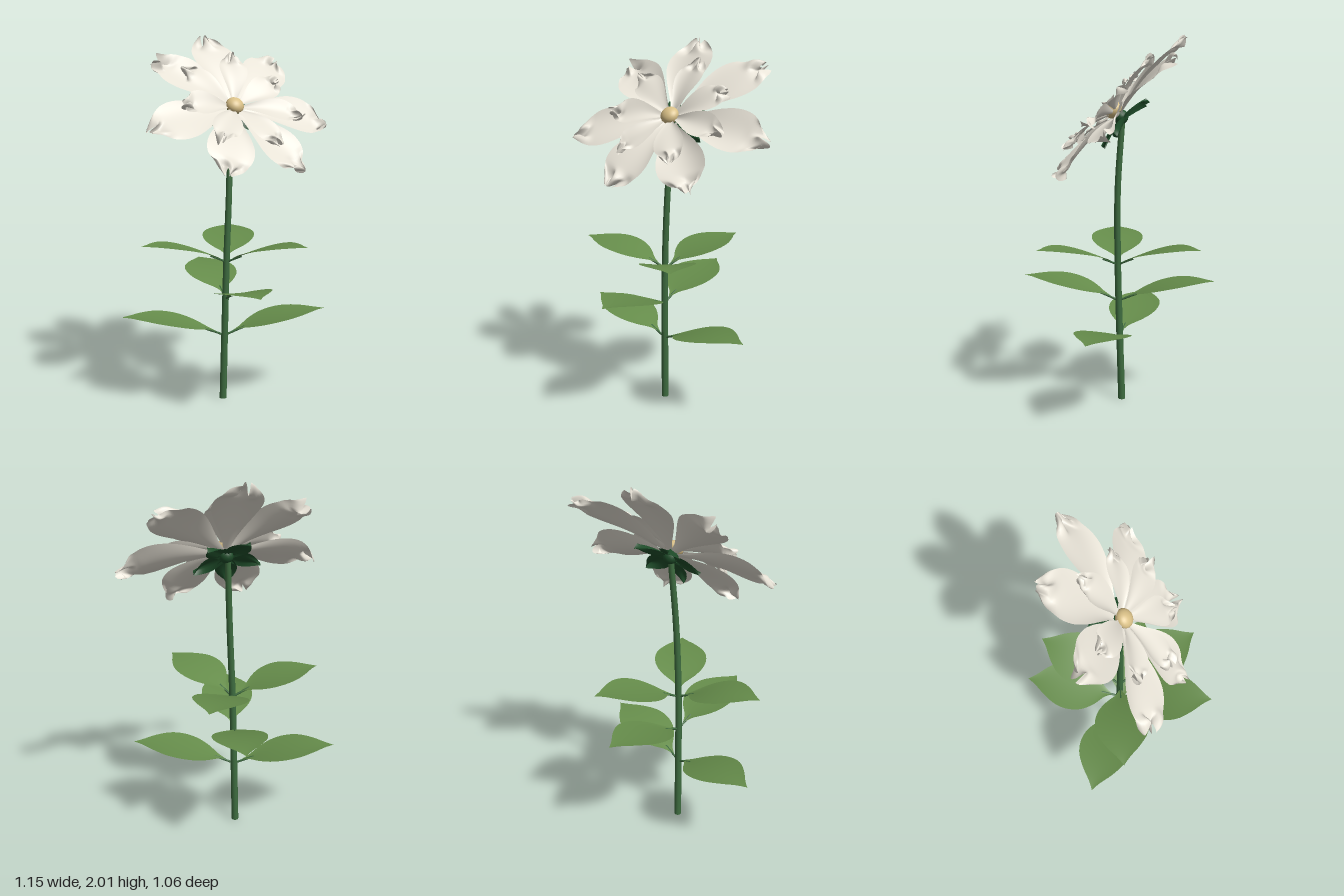
import * as THREE from 'three';

const mat = (name, color, side = THREE.FrontSide) => {
  const m = new THREE.MeshStandardMaterial({ color, side });
  m.name = name;
  return m;
};

// Curved sheet along +x: outline gives [t, halfWidth] pairs, warp bends each point.
function sheet(length, outline, warp, nu = 28, nv = 14) {
  const spline = new THREE.SplineCurve(outline.map(([t, w]) => new THREE.Vector2(t, w)));
  const geo = new THREE.PlaneGeometry(1, 2, nu, nv).rotateX(-Math.PI / 2);
  const pos = geo.attributes.position;
  for (let i = 0; i < pos.count; i++) {
    const s = pos.getZ(i);
    const p = spline.getPoint(THREE.MathUtils.clamp(pos.getX(i) + 0.5, 0, 1));
    const [dx, y] = warp(p.x, s);
    pos.setXYZ(i, p.x * length + dx, y, s * Math.max(p.y, 0.0005));
  }
  geo.computeVertexNormals();
  return geo;
}

export function createModel() {
  const petalMat = mat('ivory petal', 0xe8e3d7, THREE.DoubleSide);
  const leafMat = mat('leaf green', 0x668d4b, THREE.DoubleSide);
  const stemMat = mat('stem green', 0x3d6b3f);
  const sepalMat = mat('dark sepal green', 0x1f4d2a, THREE.DoubleSide);
  const centreMat = mat('pale gold', 0xd8bf86);

  const root = new THREE.Group();
  root.name = 'flower';
  const add = (parent, name, geo, material) => {
    const m = new THREE.Mesh(geo, material);
    m.name = name;
    parent.add(m);
    return m;
  };

  // Stem: a tapered cylinder bent along a gentle curve
  const H = 1.58;
  const path = new THREE.CatmullRomCurve3([
    [-0.03, 0, -0.022], [-0.025, 0.4, -0.01], [-0.018, 0.8, 0],
    [-0.002, 1.2, 0], [0.015, H, -0.025],
  ].map((p) => new THREE.Vector3(...p)));
  const stemGeo = new THREE.CylinderGeometry(0.016, 0.02, H, 14, 24);
  const sp = stemGeo.attributes.position;
  for (let i = 0; i < sp.count; i++) {
    const p = path.getPoint(THREE.MathUtils.clamp(sp.getY(i) / H + 0.5, 0, 1));
    sp.setXYZ(i, sp.getX(i) + p.x, p.y, sp.getZ(i) + p.z);
  }
  stemGeo.computeVertexNormals();
  add(root, 'stem', stemGeo, stemMat);

  // Leaves: two pairs and an upper whorl of three, as [attachment height, tip x, tip z]
  const leafOutline = [[0.08, 0.004], [0.16, 0.03], [0.26, 0.088], [0.38, 0.132], [0.52, 0.148],
    [0.66, 0.134], [0.8, 0.086], [0.91, 0.034], [1, 0]];
  const rise = (t) => 0.125 * (1 - (1 - t) ** 2);
  const leaves = [
    [0.37, -0.565, -0.17], [0.37, 0.52, 0.15],
    [0.58, 0.05, -0.53], [0.58, -0.09, 0.525],
    [0.785, 0.215, -0.435], [0.785, 0.24, 0.42], [0.785, -0.515, 0.015],
  ];
  leaves.forEach(([y, x, z]) => {
    const base = path.getPoint(y / H);
    const dx = x - base.x, dz = z - base.z, length = Math.hypot(dx, dz);
    const leaf = new THREE.Group();
    leaf.name = 'leaf';
    leaf.position.set(base.x, y, base.z);
    leaf.rotation.y = Math.atan2(-dz, dx);
    add(leaf, 'leafBlade', sheet(length, leafOutline,
      (t, s) => [0, rise(t) + 0.008 * s * s * Math.sin(Math.PI * t)]), leafMat);
    const stalk = new THREE.CatmullRomCurve3([0, 0.08, 0.2].map(
      (t) => new THREE.Vector3(t * length, rise(t) - 0.004, 0)));
    add(leaf, 'leafStalk', new THREE.TubeGeometry(stalk, 6, 0.006, 6), stemMat);
    root.add(leaf);
  });

  // Flower head, tilted up and forward
  const head = new THREE.Group();
  head.name = 'flowerHead';
  head.position.set(0.022, 1.617, 0.012);
  head.rotation.x = THREE.MathUtils.degToRad(46);
  root.add(head);

  const centre = add(head, 'flowerCentre', new THREE.SphereGeometry(0.049, 24, 16), centreMat);
  centre.scale.y = 0.75;
  centre.position.y = 0.01;
  const cup = add(head, 'receptacle', new THREE.SphereGeometry(0.04, 16, 10), sepalMat);
  cup.position.y = -0.04;

  // Petals: blunt, narrow-footed, with a crumpled curling tip
  const petalOutline = [[0.03, 0.016], [0.16, 0.03], [0.32, 0.066], [0.48, 0.102], [0.64, 0.125],
    [0.78, 0.12], [0.89, 0.088], [0.96, 0.05], [1, 0.022]];
  const petal = (name, angle, length, width, foot, tip, seed) => {
    const outline = petalOutline.map(([t, w]) => [t, w * width]);
    const geo = sheet(length, outline, (t, s) => {
      const k = THREE.MathUtils.smoothstep(t, 0.78, 1);
      const cupping = 0.022 * width * s * s * Math.sin(Math.PI * t);
      const wave = 0.01 * Math.sin(2.5 * s + seed) * t;
      const crumple = k * (0.02 * Math.sin(5 * s + seed * 2) + 0.012 * Math.sin(30 * t + 4 * s + seed));
      const fold = k * 0.022 * Math.sin(7 * s + seed * 3);
      return [fold, foot + (tip - foot) * t + 0.02 * Math.sin(Math.PI * t) + cupping + wave + crumple];
    }, 32, 18);
    add(head, name, geo, petalMat).rotation.y = THREE.MathUtils.degToRad(angle);
  };
  // [angle, length, tip height]
  [[91, 0.51, 0], [43, 0.55, -0.03], [-9, 0.55, -0.04], [-60, 0.49, -0.02],
    [-113, 0.48, 0], [-162, 0.53, 0.01], [140, 0.47, 0.02]]
    .forEach(([a, l, h], i) => petal('outerPetal', a, l, 1, -0.03, h, i * 1.7 + 0.6));
  [[77, 0.33], [24, 0.31], [-20, 0.35], [-67, 0.33], [-123, 0.32], [-173, 0.31], [138, 0.32]]
    .forEach(([a, l], i) => petal('innerPetal', a, l, 0.62, -0.01, 0.055, i * 2.3 + 0.2));

  // Sepals: five pointed, wavy bracts behind the petals
  const sepalOutline = [[0, 0.02], [0.25, 0.045], [0.5, 0.058], [0.75, 0.04], [1, 0]];
  for (let i = 0; i < 5; i++) {
    const geo = sheet(0.185, sepalOutline, (t, s) =>
      [0, -0.045 - 0.035 * t * t + 0.012 * t * Math.sin(4 * s + i) - 0.01 * s * s], 12, 8);
    add(head, 'sepal', geo, sepalMat).rotation.y = THREE.MathUtils.degToRad(263 + 72 * i);
  }
  return root;
}
